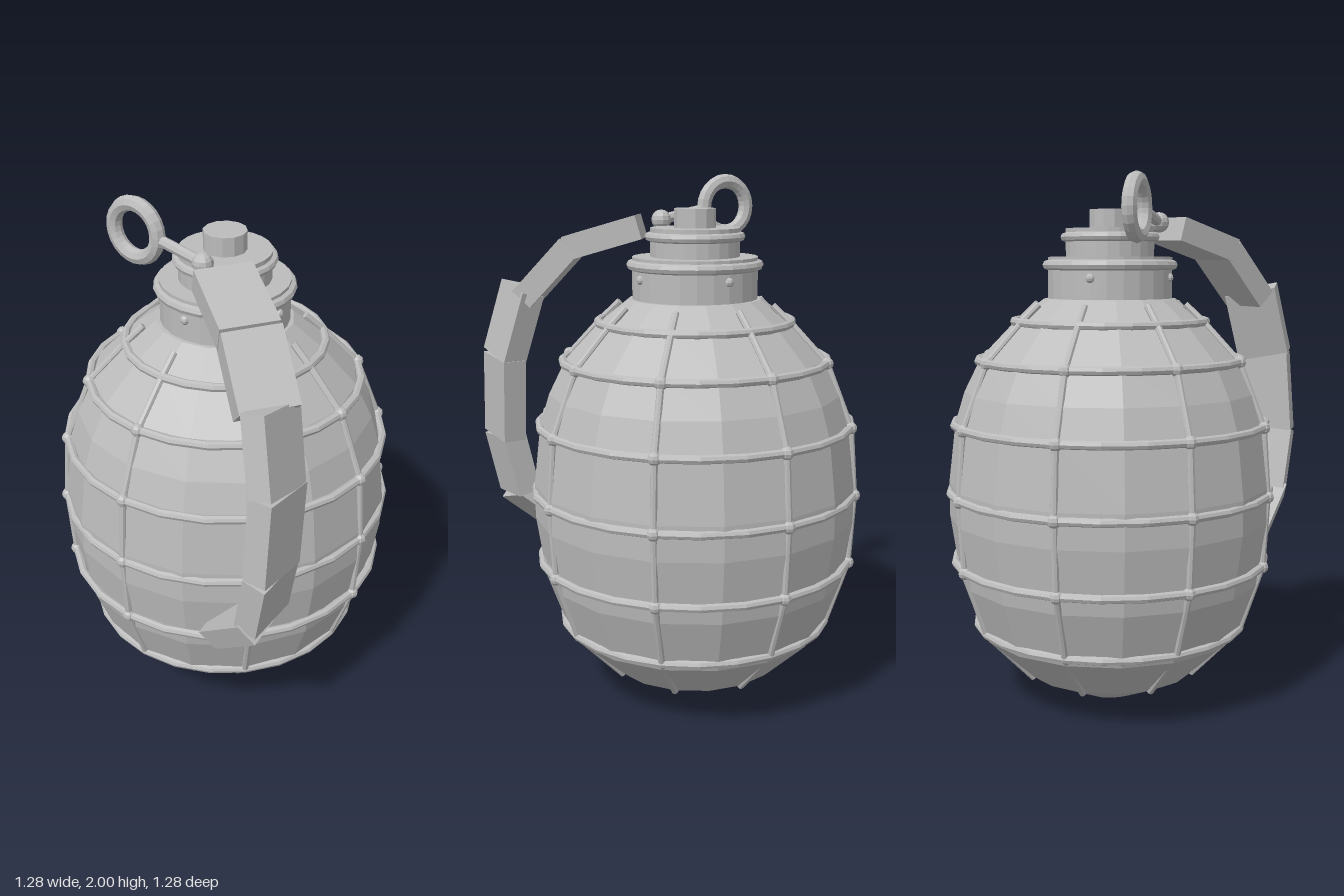
import * as THREE from 'three';

export function createModel() {
  const model = new THREE.Group();
  const steel = new THREE.MeshStandardMaterial({ color: 0xbcbcbc, flatShading: true });
  steel.name = 'light grey steel';
  const V = (x, y, z) => new THREE.Vector3(x, y, z);

  const add = (name, geometry, x = 0, y = 0, z = 0, parent = model) => {
    const mesh = new THREE.Mesh(geometry, steel);
    mesh.name = name;
    mesh.position.set(x, y, z);
    parent.add(mesh);
    return mesh;
  };
  const rod = (name, a, b, radius, parent = model) => {
    const dir = b.clone().sub(a);
    const m = add(name, new THREE.CylinderGeometry(radius, radius, dir.length(), 8), 0, 0, 0, parent);
    m.position.copy(a).add(b).multiplyScalar(0.5);
    m.quaternion.setFromUnitVectors(V(0, 1, 0), dir.normalize());
  };
  const hoop = (name, radius, tube, y) => {
    const m = add(name, new THREE.TorusGeometry(radius, tube, 8, 24), 0, y, 0);
    m.rotation.x = Math.PI / 2;
  };
  const disc = (name, radius, y0, y1, sides = 24) =>
    add(name, new THREE.CylinderGeometry(radius, radius, y1 - y0, sides), 0, (y0 + y1) / 2, 0);

  // Faceted egg-shaped body
  const profile = [[0, 0], [0.11, 0], [0.335, 0.105], [0.51, 0.27], [0.585, 0.48], [0.62, 0.72],
    [0.62, 0.85], [0.592, 1.08], [0.555, 1.2], [0.49, 1.33], [0.365, 1.46], [0.25, 1.55], [0, 1.56]];
  add('body', new THREE.LatheGeometry(profile.map(p => new THREE.Vector2(...p)), 16));

  // Wire cage: hoops, ribs and knobs where they cross
  const cage = [[0.33, 0.1], [0.52, 0.3], [0.602, 0.55], [0.617, 0.82], [0.597, 1.08],
    [0.502, 1.32], [0.365, 1.465], [0.295, 1.53]];
  cage.slice(1, 7).forEach(([r, y]) => hoop('cageHoop', r, 0.016, y));
  for (let i = 0; i < 8; i++) {
    const rib = new THREE.Group();
    rib.name = 'cageRib';
    rib.rotation.y = i * Math.PI / 4;
    for (let k = 0; k < cage.length - 1; k++) {
      rod('ribWire', V(cage[k][0], cage[k][1], 0), V(cage[k + 1][0], cage[k + 1][1], 0), 0.013, rib);
    }
    cage.slice(2, 6).forEach(([r, y]) =>
      add('ribKnob', new THREE.SphereGeometry(0.025, 8, 6), r, y, 0, rib));
    model.add(rib);
  }

  // Neck, collar, cap and top button
  disc('neck', 0.235, 1.5, 1.66);
  hoop('collarRing', 0.237, 0.019, 1.675);
  disc('collar', 0.235, 1.66, 1.705);
  disc('upperNeck', 0.167, 1.7, 1.77);
  hoop('capRing', 0.17, 0.017, 1.778);
  disc('cap', 0.167, 1.77, 1.81);
  disc('topButton', 0.078, 1.81, 1.88, 12);
  for (let i = 0; i < 4; i++) {
    const a = i * Math.PI / 2;
    add('neckRivet', new THREE.SphereGeometry(0.018, 8, 6), 0.23 * Math.cos(a), 1.628, 0.23 * Math.sin(a));
  }

  // Pull ring with its pin
  add('pullRing', new THREE.TorusGeometry(0.097, 0.028, 8, 24), -0.25, 1.875, 0.18);
  rod('pin', V(-0.155, 1.868, 0.18), V(0.04, 1.832, 0.18), 0.02);
  add('pinHead', new THREE.SphereGeometry(0.038, 10, 8), 0.04, 1.832, 0.18);

  // Safety lever: a chain of flat plates; the top two run diagonally, the rest face sideways
  const path = [
    [V(0.125, 1.81, 0.185), V(0.35, 1.73, 0.345)],
    [V(0.34, 1.735, 0.335), V(0.49, 1.54, 0.44)],
    [V(0.505, 1.575, 0.445), V(0.572, 1.305, 0.495)],
    [V(0.572, 1.31, 0.49), V(0.572, 0.99, 0.515)],
    [V(0.572, 1.0, 0.517), V(0.525, 0.76, 0.497)],
    [V(0.535, 0.77, 0.503), V(0.325, 0.59, 0.45)],
  ];
  const lever = new THREE.Group();
  lever.name = 'lever';
  path.forEach(([a, b], i) => {
    const dir = b.clone().sub(a);
    const plate = add('leverPlate', new THREE.BoxGeometry(0.205, 0.09, dir.length()), 0, 0, 0, lever);
    const z = dir.normalize();
    const x = i < 2 ? V(0.6, 0, -0.8) : V(0, -z.z, z.y);
    x.addScaledVector(z, -x.dot(z)).normalize();
    plate.quaternion.setFromRotationMatrix(new THREE.Matrix4().makeBasis(x, z.clone().cross(x), z));
    plate.position.copy(a).add(b).multiplyScalar(0.5);
  });
  model.add(lever);

  return model;
}
